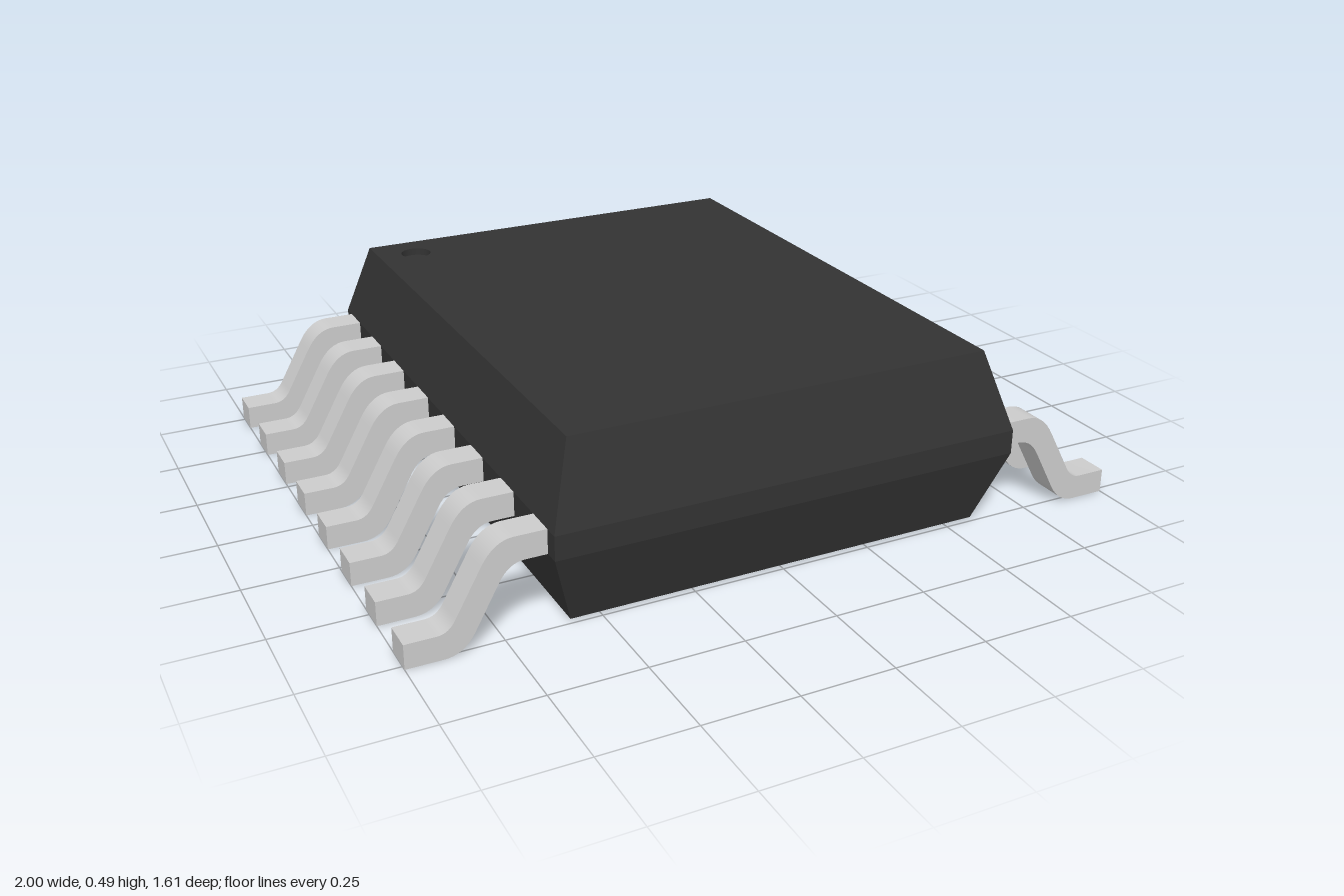
import * as THREE from 'three';
import { toCreasedNormals } from 'three/addons/utils/BufferGeometryUtils.js';

const PIN_COUNT = 8, PIN_SPAN = 1.446, PIN_WIDTH = 0.084;
const TOP_Y = 0.485;
const DIMPLE = { x: -0.47, z: -0.635, r: 0.043, depth: 0.02 };

// Rings of the moulded case, bottom to top: [y, half width, half depth]
const RINGS = [
  [0.006, 0.58, 0.74],
  [0.21, 0.643, 0.806],
  [0.275, 0.643, 0.806],
  [TOP_Y, 0.58, 0.74],
];

// Sloping walls and the underside, flat faced
function caseGeometry() {
  const positions = [], index = [];
  for (const [y, w, d] of RINGS) positions.push(-w, y, d, w, y, d, w, y, -d, -w, y, -d);
  for (let i = 0; i < RINGS.length - 1; i++) {
    for (let j = 0; j < 4; j++) {
      const a = i * 4 + j, b = i * 4 + (j + 1) % 4;
      index.push(a, b, b + 4, a, b + 4, a + 4);
    }
  }
  index.push(0, 2, 1, 0, 3, 2);
  const indexed = new THREE.BufferGeometry();
  indexed.setAttribute('position', new THREE.Float32BufferAttribute(positions, 3));
  indexed.setIndex(index);
  const geometry = indexed.toNonIndexed();
  geometry.computeVertexNormals();
  return geometry;
}

// Top face with a round hole for the pin-one dimple
function topGeometry() {
  const [, w, d] = RINGS[RINGS.length - 1];
  const shape = new THREE.Shape();
  shape.moveTo(-w, -d).lineTo(w, -d).lineTo(w, d).lineTo(-w, d).closePath();
  const hole = new THREE.Path();
  hole.absarc(DIMPLE.x, -DIMPLE.z, DIMPLE.r, 0, Math.PI * 2, true);
  shape.holes.push(hole);
  return new THREE.ShapeGeometry(shape, 16).rotateX(-Math.PI / 2);
}

// Gull-wing strip: shoulder, sloping leg and flat foot
function pinGeometry() {
  const s = new THREE.Shape();
  s.moveTo(0.63, 0.21);
  s.lineTo(0.7, 0.21);
  s.quadraticCurveTo(0.74, 0.21, 0.765, 0.165);
  s.lineTo(0.828, 0.05);
  s.quadraticCurveTo(0.857, 0, 0.905, 0);
  s.lineTo(1, 0);
  s.lineTo(1, 0.065);
  s.lineTo(0.92, 0.065);
  s.quadraticCurveTo(0.89, 0.065, 0.872, 0.1);
  s.lineTo(0.808, 0.215);
  s.quadraticCurveTo(0.775, 0.275, 0.725, 0.275);
  s.lineTo(0.63, 0.275);
  s.closePath();
  const geometry = new THREE.ExtrudeGeometry(s, { depth: PIN_WIDTH, bevelEnabled: false, curveSegments: 8 });
  geometry.translate(0, 0, -PIN_WIDTH / 2);
  return toCreasedNormals(geometry, Math.PI / 6);
}

export function createModel() {
  const model = new THREE.Group();
  model.name = 'chipPackage';
  const plastic = new THREE.MeshStandardMaterial({ color: 0x333333 });
  const plasticInside = new THREE.MeshStandardMaterial({ color: 0x333333, side: THREE.BackSide });
  const metal = new THREE.MeshStandardMaterial({ color: 0xcccccc });

  const add = (parent, name, geometry, material, x = 0, y = 0, z = 0) => {
    const mesh = new THREE.Mesh(geometry, material);
    mesh.name = name;
    mesh.position.set(x, y, z);
    parent.add(mesh);
    return mesh;
  };

  // Case
  const body = new THREE.Group();
  body.name = 'body';
  model.add(body);
  add(body, 'caseWalls', caseGeometry(), plastic);
  add(body, 'caseTop', topGeometry(), plastic, 0, TOP_Y, 0);

  // Recessed pin-one marker
  const { x, z, r, depth } = DIMPLE;
  add(body, 'dimpleWall', new THREE.CylinderGeometry(r, r, depth, 32, 1, true), plasticInside, x, TOP_Y - depth / 2, z);
  add(body, 'dimpleFloor', new THREE.CircleGeometry(r, 32).rotateX(-Math.PI / 2), plastic, x, TOP_Y - depth, z);

  // Two rows of pins, the second turned half way round
  const pin = pinGeometry();
  for (const [name, turn] of [['leftPins', 0], ['rightPins', Math.PI]]) {
    const row = new THREE.Group();
    row.name = name;
    row.rotation.y = turn;
    for (let i = 0; i < PIN_COUNT; i++) {
      add(row, 'pin', pin, metal, 0, 0, (i / (PIN_COUNT - 1) - 0.5) * PIN_SPAN);
    }
    model.add(row);
  }
  return model;
}
